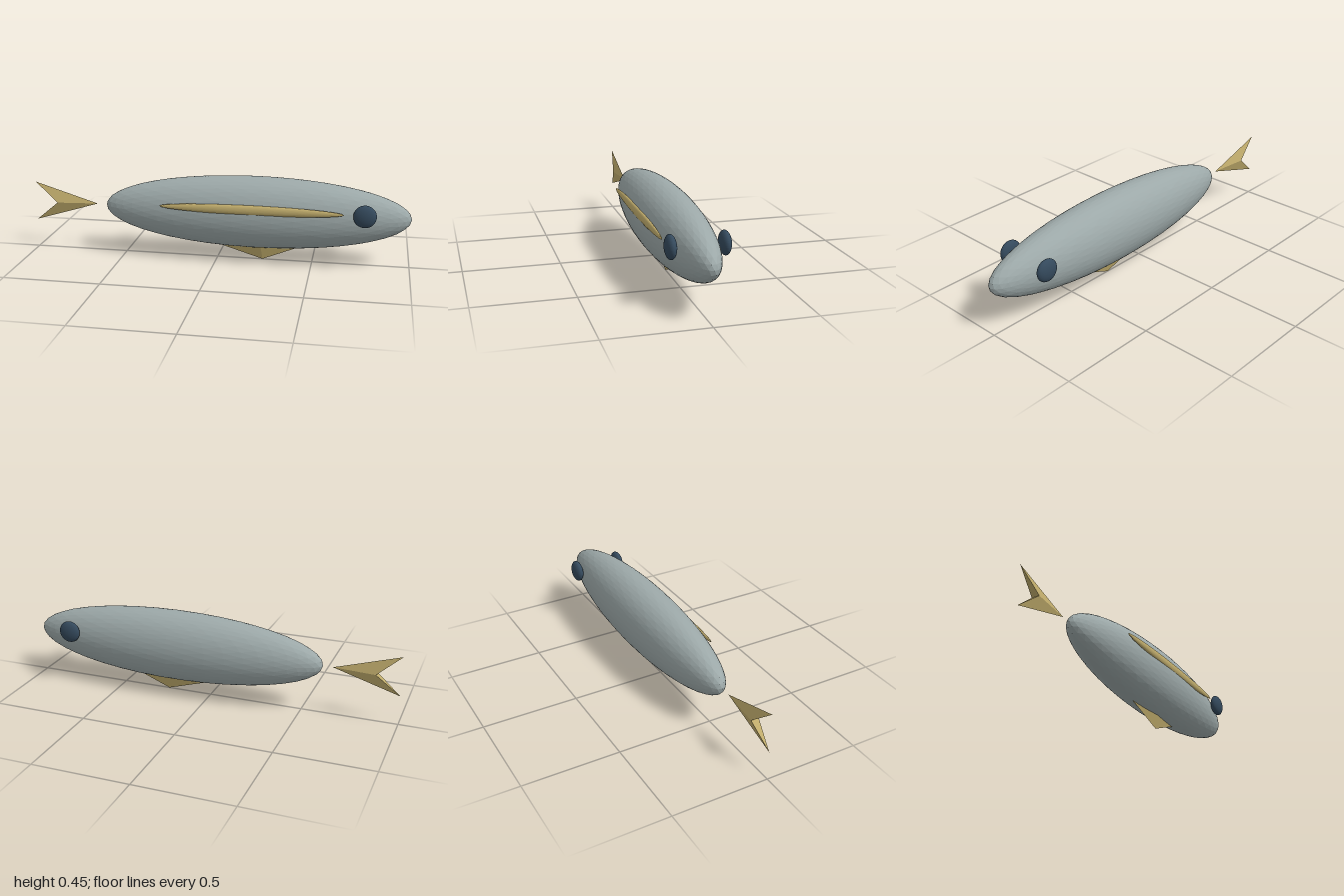
import * as THREE from 'three';

const material = (name, color) => {
  const m = new THREE.MeshStandardMaterial({ color });
  m.name = name;
  return m;
};

export function createModel() {
  const fish = new THREE.Group();
  fish.name = 'fish';
  const skin = material('greySkin', 0x9ca8a8);
  const gold = material('goldFin', 0xc0ac6c);
  const dark = material('darkEye', 0x34495c);

  const add = (name, geometry, mat) => {
    geometry.computeVertexNormals(); // unindexed, so facets stay flat
    const mesh = new THREE.Mesh(geometry, mat);
    mesh.name = name;
    fish.add(mesh);
  };

  // Faceted ellipsoid
  const ellipsoid = (name, mat, radii, centre, detail) =>
    add(name, new THREE.IcosahedronGeometry(1, detail).scale(...radii).translate(...centre), mat);

  // Pointed fin: a tip, two outer corners and a thick middle at half-width t
  const fin = (name, tip, cornerA, cornerB, middle, t) => {
    const T = [...tip, 0], U = [...cornerA, 0], L = [...cornerB, 0];
    const F = [...middle, t], B = [...middle, -t];
    const corners = [T, U, F, T, F, L, T, B, U, T, L, B, U, B, F, L, F, B];
    const geometry = new THREE.BufferGeometry();
    geometry.setAttribute('position', new THREE.Float32BufferAttribute(corners.flat(), 3));
    add(name, geometry, mat_(gold));
  };
  const mat_ = (m) => m;

  ellipsoid('body', skin, [0.802, 0.19, 0.146], [0.198, 0.26, 0], 7);

  // Long fin on the front flank only
  ellipsoid('sideFin', gold, [0.472, 0.026, 0.014], [0.19, 0.307, 0.136], 7);

  for (const side of [1, -1]) {
    ellipsoid(side > 0 ? 'frontEye' : 'backEye', dark,
      [0.058, 0.058, 0.027], [0.765, 0.302, side * 0.127], 7);
  }

  fin('tailFin', [-0.655, 0.26], [-1, 0.366], [-1, 0.156], [-0.875, 0.26], 0.021);
  fin('bellyFin', [0.24, 0.002], [0.46, 0.09], [-0.05, 0.09], [0.23, 0.09], 0.026);

  return fish;
}
